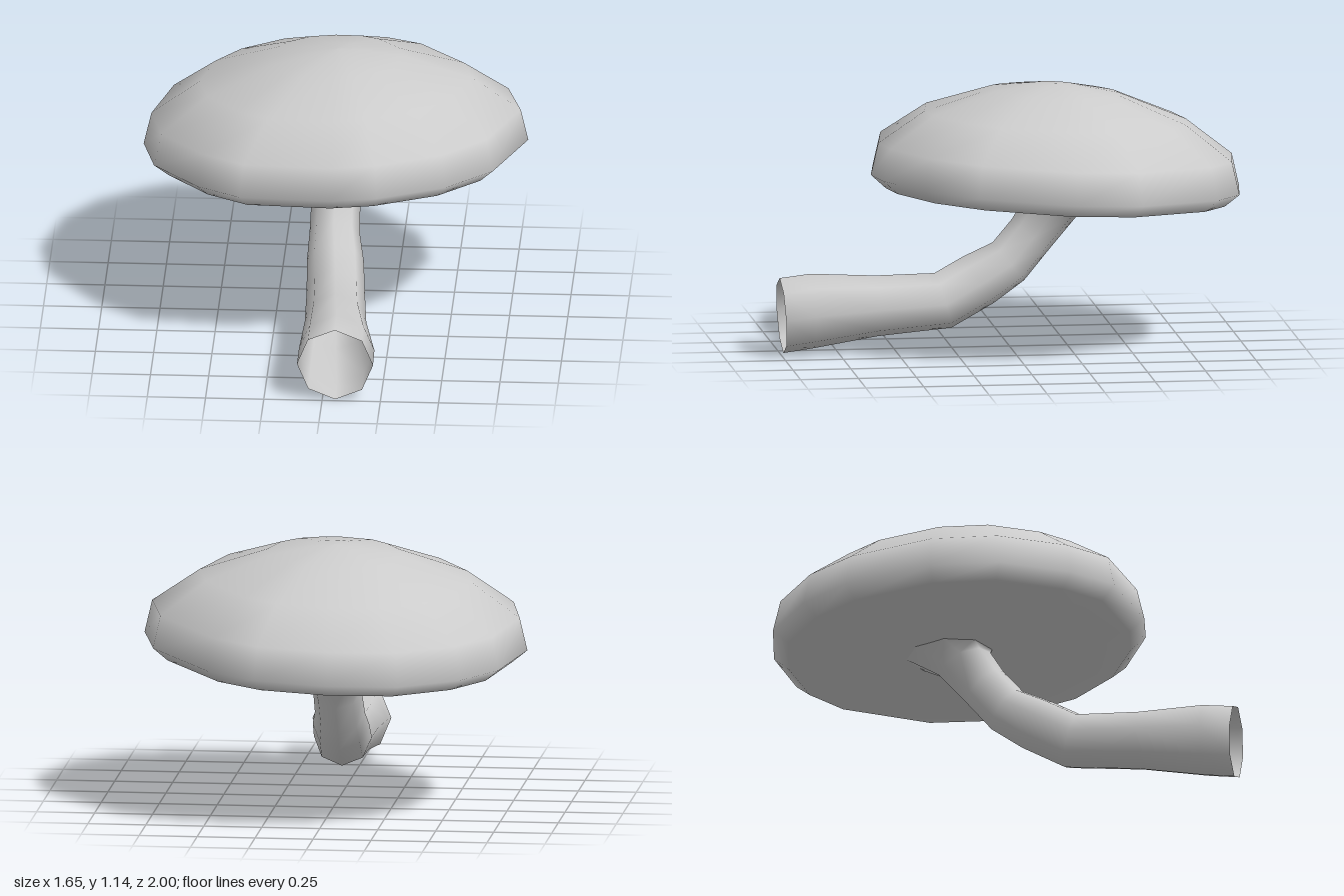
import * as THREE from 'three';

// Skin a list of closed rings (equal point counts) into a smooth surface
function loft(rings, side) {
  const n = rings[0].length, index = [];
  for (let i = 0; i < rings.length - 1; i++) {
    for (let j = 0; j < n; j++) {
      const a = i * n + j, b = i * n + (j + 1) % n;
      index.push(a, a + n, b, b, a + n, b + n);
    }
  }
  const geometry = new THREE.BufferGeometry();
  geometry.setAttribute('position', new THREE.Float32BufferAttribute(rings.flat(2), 3));
  geometry.setIndex(index);
  geometry.computeVertexNormals();
  return new THREE.Mesh(geometry, new THREE.MeshStandardMaterial({ color: 0xcccccc, side }));
}

// Cap: an uneven rim outline scaled along a domed profile, slightly tilted
function createCap() {
  const centreZ = -0.2;
  const rim = [
    [-0.06, -1], [0.26, -0.96], [0.47, -0.84], [0.75, -0.48],
    [0.82, -0.19], [0.69, 0.22], [0.5, 0.43], [0.21, 0.57],
    [0.01, 0.6], [-0.38, 0.54], [-0.57, 0.39], [-0.77, 0.11],
    [-0.83, -0.18], [-0.75, -0.56], [-0.61, -0.77], [-0.36, -0.95],
  ];
  // [scale of the outline, height above the rim]
  const profile = [
    [0.001, -0.06], [0.2, -0.06], [0.35, -0.055], [0.65, -0.055], [0.92, -0.055],
    [1, 0], [0.96, 0.14], [0.71, 0.285], [0.35, 0.39], [0.12, 0.42], [0.001, 0.425],
  ];
  const rings = profile.map(([s, h]) => rim.map(([x, z]) => {
    const px = x * s, dz = (z - centreZ) * s;
    return [px, 0.715 + h + 0.03 * px + 0.056 * dz, centreZ + dz];
  }));
  const cap = loft(rings, THREE.FrontSide);
  cap.name = 'cap';
  return cap;
}

// Stem: an open eight-sided tube that bends upward and flares under the cap
function createStem() {
  // [x, y, z, radius, upward angle of the path]
  const stations = [
    [0.055, 0.165, 0.992, 0.163, 0.05],
    [0.055, 0.182, 0.86, 0.162, 0.04],
    [0.035, 0.195, 0.58, 0.132, 0.04],
    [0.02, 0.21, 0.29, 0.125, 0.3],
    [0.01, 0.295, 0.135, 0.122, 0.58],
    [0, 0.37, 0.005, 0.108, 0.68],
    [0, 0.485, -0.09, 0.105, 0.85],
    [0, 0.605, -0.18, 0.12, 1.2],
    [0, 0.65, -0.24, 0.18, 1.5],
    [0, 0.68, -0.25, 0.22, 1.5],
  ];
  const rings = stations.map(([x, y, z, r, e]) =>
    Array.from({ length: 8 }, (_, k) => {
      const a = (k / 8) * Math.PI * 2, up = r * Math.sin(a);
      return [x + r * Math.cos(a), y + up * Math.cos(e), z + up * Math.sin(e)];
    }));
  const stem = loft(rings, THREE.DoubleSide);
  stem.name = 'stem';
  return stem;
}

export function createModel() {
  const group = new THREE.Group();
  group.name = 'mushroom';
  group.add(createCap(), createStem());
  return group;
}
